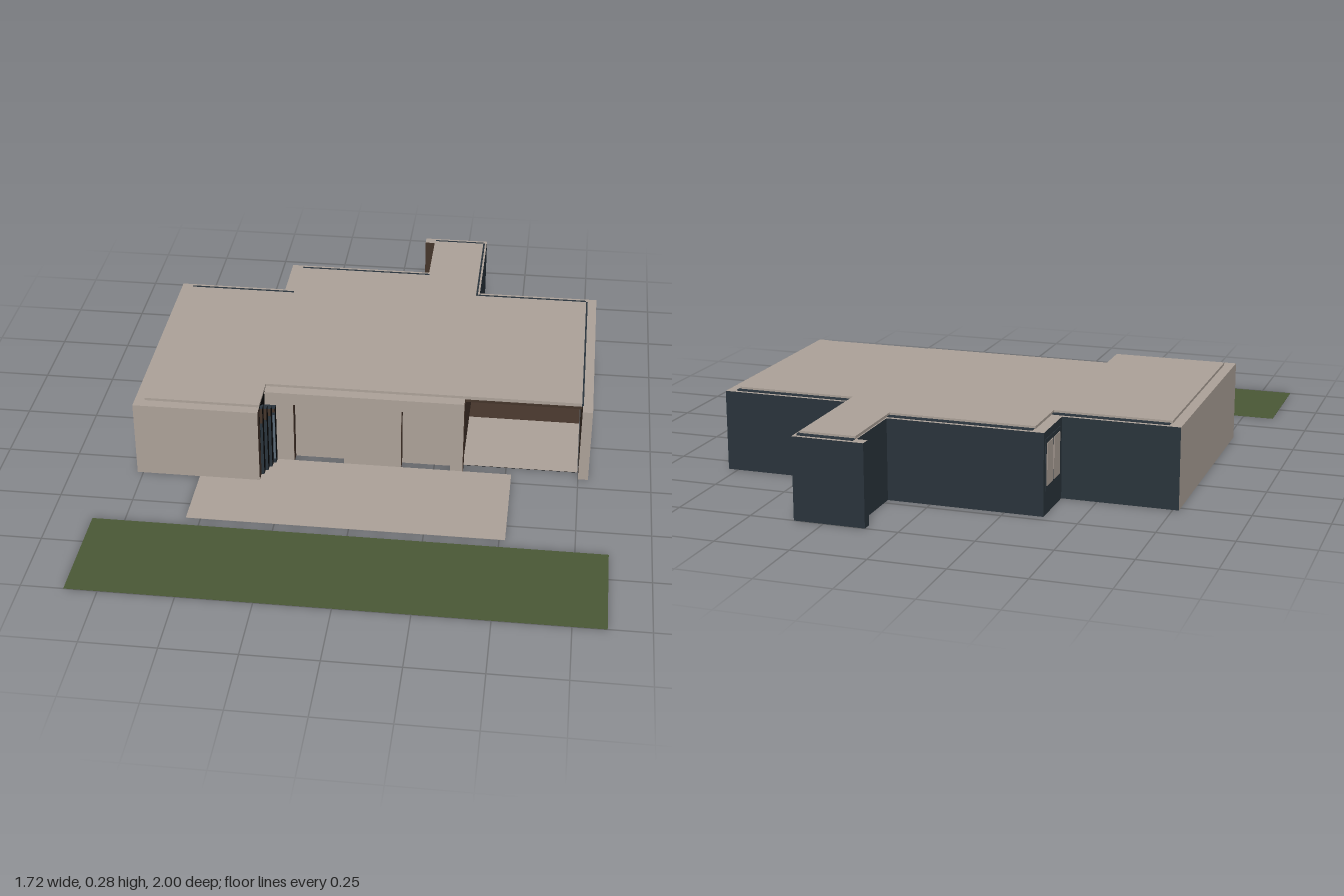
import * as THREE from 'three';

const mat = (name, color) => {
  const m = new THREE.MeshStandardMaterial({ color });
  m.name = name;
  return m;
};

export function createModel() {
  const house = new THREE.Group();
  house.name = 'house';
  const taupe = mat('taupe plaster', 0xada299);
  const slate = mat('slate cladding', 0x2a343c);
  const brown = mat('dark brown interior', 0x45352b);
  const green = mat('lawn green', 0x4b5936);
  const black = mat('black underside', 0x050505);
  const glass = mat('blue grey glass', 0x5c6c78);

  // Box given by its limits; material may be one or six (+x,-x,+y,-y,+z,-z)
  function box(name, material, x0, x1, y0, y1, z0, z1) {
    const mesh = new THREE.Mesh(new THREE.BoxGeometry(x1 - x0, y1 - y0, z1 - z0), material);
    mesh.position.set((x0 + x1) / 2, (y0 + y1) / 2, (z0 + z1) / 2);
    mesh.name = name;
    house.add(mesh);
  }

  // Horizontal slab from a plan outline of [x, z] points
  function slab(name, material, plan, y0, y1) {
    const shape = new THREE.Shape(plan.map(([x, z]) => new THREE.Vector2(x, -z)));
    const geo = new THREE.ExtrudeGeometry(shape, { depth: y1 - y0, bevelEnabled: false });
    geo.rotateX(-Math.PI / 2);
    const mesh = new THREE.Mesh(geo, material);
    mesh.position.y = y0;
    mesh.name = name;
    house.add(mesh);
  }

  // Ground pieces, dark underneath
  const ground = (m) => [m, m, m, black, m, m];
  box('lawn', ground(green), -0.86, 0.86, 0, 0.001, 0.62, 1);
  box('patio', ground(taupe), -0.55, 0.52, 0, 0.001, 0.2, 0.58);

  // Floor, ceiling and roof follow the stepped plan
  const plan = [
    [-0.735, 0.298], [-0.34, 0.298], [-0.34, 0.16], [0.747, 0.16], [0.747, -0.545], [0.337, -0.545],
    [0.337, -0.965], [0.15, -0.965], [0.15, -0.685], [-0.342, -0.685], [-0.342, -0.49], [-0.735, -0.49],
  ];
  slab('floorUnderside', black, plan, 0, 0.001);
  slab('floor', taupe, plan, 0.001, 0.002);
  slab('ceiling', brown, plan, 0.262, 0.272);
  slab('roof', taupe, plan, 0.272, 0.284);

  // Outside walls
  const H = 0.275;
  const back = [slate, slate, taupe, black, brown, slate];
  const left = [brown, taupe, taupe, black, taupe, slate];
  const right = [slate, brown, taupe, black, taupe, slate];
  const step = [brown, slate, taupe, black, brown, slate];
  const front = [brown, taupe, taupe, black, taupe, brown];
  box('leftWall', left, -0.77, -0.735, 0, H, -0.525, 0.335);
  box('leftFrontWall', front, -0.735, -0.34, 0, H, 0.298, 0.335);
  box('leftBackWall', back, -0.735, -0.342, 0, H, -0.525, -0.49);
  box('middleStepWall', step, -0.38, -0.342, 0, H, -0.72, -0.525);
  box('middleBackWall', back, -0.342, 0.15, 0, H, -0.72, -0.685);
  box('passageLeftWall', step, 0.146, 0.15, 0, H, -0.965, -0.72);
  box('passageBackWall', back, 0.11, 0.35, 0, H, -1, -0.965);
  box('passageRightWall', right, 0.34, 0.35, 0, H, -0.965, -0.58);
  box('rightBackWall', back, 0.34, 0.75, 0, H, -0.58, -0.545);
  box('rightWall', right, 0.75, 0.785, 0, H, -0.58, 0.2);

  // Dark gutters between the walls and the roof
  [[-0.73, -0.342, -0.49], [-0.338, 0.15, -0.685], [0.15, 0.337, -0.965], [0.345, 0.747, -0.545]]
    .forEach(([x0, x1, z]) => box('backGutter', slate, x0, x1, 0.272, 0.277, z - 0.022, z + 0.002));
  box('rightGutter', slate, 0.747, 0.753, 0.272, 0.277, -0.56, 0.16);
  box('passageGutter', slate, 0.337, 0.343, 0.272, 0.277, -0.98, -0.56);

  // Front wall with two door openings
  const wall = new THREE.Shape();
  wall.moveTo(-0.34, 0).lineTo(-0.24, 0).lineTo(-0.24, 0.23).lineTo(-0.065, 0.23).lineTo(-0.065, 0);
  wall.lineTo(0.135, 0).lineTo(0.135, 0.23).lineTo(0.307, 0.23).lineTo(0.307, 0);
  wall.lineTo(0.35, 0).lineTo(0.35, H).lineTo(-0.34, H);
  const frontWall = new THREE.Mesh(
    new THREE.ExtrudeGeometry(wall, { depth: 0.04, bevelEnabled: false }), taupe);
  frontWall.position.z = 0.16;
  frontWall.name = 'frontWall';
  house.add(frontWall);
  [[-0.24, -0.065], [0.135, 0.307]].forEach(([x0, x1]) =>
    box('door', [taupe, taupe, taupe, black, taupe, brown], x0, x1, 0, 0.23, 0.16, 0.17));

  // Dark faces on the door reveals and the wall end
  [[-0.24, 0.23], [0.135, 0.23], [0.35, 0.273]].forEach(([x, y]) =>
    box('reveal', brown, x, x + 0.002, 0, y, 0.161, 0.199));

  // Carport: inner side wall, dark rear floor and low ledge at the back
  box('carportSideWall', brown, 0.315, 0.349, 0.002, 0.262, -0.545, 0.16);
  box('carportRearFloor', brown, 0.349, 0.747, 0.002, 0.003, -0.545, -0.15);
  box('carportLedge', taupe, 0.52, 0.75, 0.002, 0.09, -0.545, -0.535);

  // Side of the front left room, with a stepped bay tapering towards its top
  box('baySideWall', black, -0.35, -0.339, 0, H, 0.16, 0.298);
  for (let i = 0; i < 4; i++) {
    const z1 = 0.298 - i * 0.0245;
    const x1 = -0.34 + 0.01 * (i + 1);
    const top = 0.27 - 0.015 * i;
    box('bayStep', [black, slate, slate, black, slate, slate], -0.34, x1, 0, 0.21, z1 - 0.0245, z1);
    box('bayHead', [black, brown, slate, black, brown, brown], -0.34, x1, 0.21, top, z1 - 0.0245, z1);
  }
  box('bayGlass', glass, -0.308, -0.301, 0.02, 0.2, 0.224, 0.226);

  // Window in the step of the back wall
  box('windowFrame', slate, -0.382, -0.38, 0.08, 0.25, -0.705, -0.545);
  [[-0.695, -0.63], [-0.62, -0.555]].forEach(([z0, z1]) =>
    box('windowPane', taupe, -0.384, -0.382, 0.095, 0.235, z0, z1));

  return house;
}
